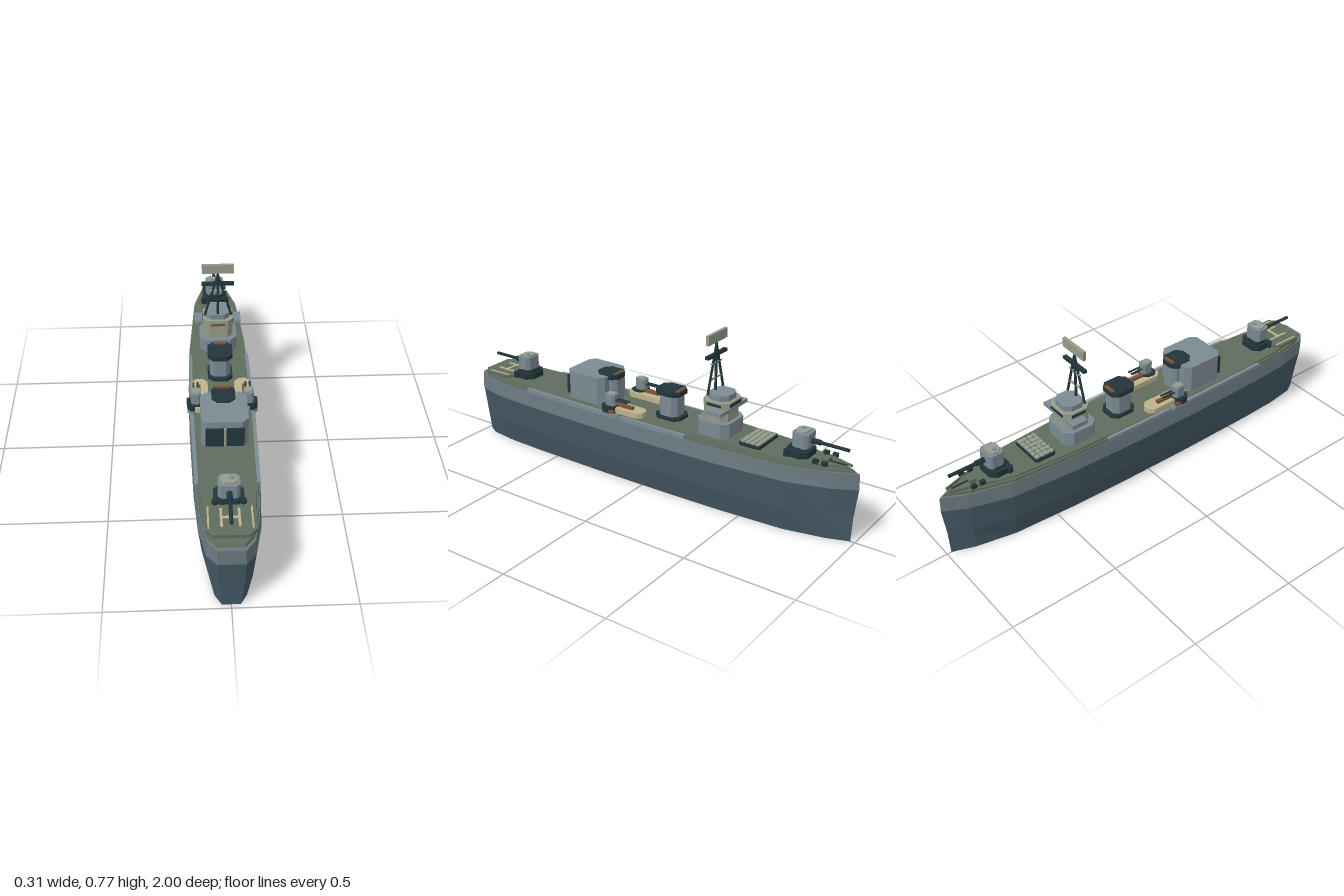
import * as THREE from 'three';

const mat = (name, color) => {
  const m = new THREE.MeshStandardMaterial({ color });
  m.name = name;
  return m;
};

export function createModel() {
  const hullBlue = mat('hull blue grey', 0x455965);
  const strake = mat('strake grey', 0x69787e);
  const grey = mat('superstructure grey', 0x7b8a93);
  const deckGreen = mat('deck green', 0x5f6c5c);
  const dark = mat('dark steel', 0x22353b);
  const khaki = mat('khaki grey', 0x949c8a);
  const cream = mat('cream', 0xbcb28c);
  const brown = mat('rust brown', 0x7d5034);

  const ship = new THREE.Group();
  ship.name = 'warship';

  const add = (parent, name, geo, material, x = 0, y = 0, z = 0) => {
    const m = new THREE.Mesh(geo, material);
    m.name = name;
    m.position.set(x, y, z);
    parent.add(m);
    return m;
  };
  const group = (name, x = 0, y = 0, z = 0) => {
    const g = new THREE.Group();
    g.name = name;
    g.position.set(x, y, z);
    ship.add(g);
    return g;
  };
  // Box standing on y
  const box = (p, name, w, h, d, material, x, y, z) =>
    add(p, name, new THREE.BoxGeometry(w, h, d), material, x, y + h / 2, z);
  // Upright prism with chamfered corners, standing on y
  const prism = (p, name, w, h, d, c, material, x, y, z) => {
    const a = w / 2, b = d / 2;
    const s = new THREE.Shape([[a, c - b], [a, b - c], [a - c, b], [c - a, b], [-a, b - c], [-a, c - b], [c - a, -b], [a - c, -b]]
      .map(([u, v]) => new THREE.Vector2(u, v)));
    const geo = new THREE.ExtrudeGeometry(s, { depth: h, bevelEnabled: false });
    return add(p, name, geo.rotateX(-Math.PI / 2), material, x, y, z);
  };
  // Faceted rod between two points
  const rod = (p, name, from, to, r, material, sides = 8) => {
    const a = new THREE.Vector3(...from), b = new THREE.Vector3(...to);
    const dir = b.clone().sub(a);
    const geo = new THREE.CylinderGeometry(r, r, dir.length(), sides).toNonIndexed();
    geo.computeVertexNormals();
    const m = add(p, name, geo, material);
    m.position.copy(a).lerp(b, 0.5);
    m.quaternion.setFromUnitVectors(new THREE.Vector3(0, 1, 0), dir.normalize());
    return m;
  };

  // Plan outline of the hull, bow to stern: [z, half width]
  const plan = [[-0.9, 0.053], [-0.72, 0.108], [-0.41, 0.134], [-0.1, 0.143], [0.2, 0.145],
    [0.62, 0.136], [0.81, 0.124], [0.95, 0.096], [1, 0.056]];
  const outline = [[-1, 0], ...plan, ...plan.map(([z, x]) => [z, -x]).reverse()];
  // Skin over levels given as [y, width scale, length scale]
  const loft = (name, levels, material) => {
    const rings = levels.map(([y, sx, sz]) => outline.map(([z, x]) => [x * sx, y, z * sz]));
    const pos = [], n = outline.length, tri = (...pts) => pts.forEach((q) => pos.push(...q));
    for (let k = 0; k + 1 < rings.length; k++) {
      const lo = rings[k], hi = rings[k + 1];
      for (let i = 0; i < n; i++) {
        const j = (i + 1) % n;
        tri(lo[i], hi[i], hi[j]);
        tri(lo[i], hi[j], lo[j]);
      }
    }
    const bottom = rings[0], top = rings[rings.length - 1];
    for (let i = 1; i + 1 < n; i++) {
      tri(bottom[0], bottom[i], bottom[i + 1]);
      tri(top[0], top[i + 1], top[i]);
    }
    const geo = new THREE.BufferGeometry();
    geo.setAttribute('position', new THREE.Float32BufferAttribute(pos, 3));
    geo.computeVertexNormals();
    add(ship, name, geo, material);
  };
  loft('lowerHull', [[0, 0.67, 0.98], [0.11, 0.88, 0.985], [0.24, 1, 1]], hullBlue);
  loft('upperStrake', [[0.24, 1, 1], [0.31, 0.945, 0.998]], strake);
  loft('deckEdge', [[0.31, 0.93, 0.98], [0.322, 0.92, 0.975]], deckGreen);
  loft('deck', [[0.322, 0.87, 0.95], [0.331, 0.86, 0.945]], deckGreen);

  // Deck-edge plates amidships
  for (const s of [-1, 1]) {
    const edge = [[-0.25, 0.129], [0.2, 0.133], [0.64, 0.124]];
    for (let i = 0; i < 2; i++) {
      const [z0, x0] = edge[i], [z1, x1] = edge[i + 1];
      const plate = box(ship, 'deckEdgePlate', 0.016, 0.018, Math.hypot(z1 - z0, x1 - x0), grey, s * (x0 + x1) / 2, 0.31, (z0 + z1) / 2);
      plate.rotation.y = s * Math.atan2(x1 - x0, z1 - z0);
    }
  }

  // Stern landing pad and its markings
  const pad = group('landingPad', 0, 0.33, 0.865);
  prism(pad, 'padSlab', 0.2, 0.014, 0.17, 0.03, deckGreen, 0, 0, 0);
  for (const s of [-1, 1]) {
    box(pad, 'padSideLine', 0.007, 0.003, 0.12, cream, s * 0.085, 0.014, -0.01);
    box(pad, 'padMarkLeg', 0.01, 0.003, 0.1, cream, s * 0.035, 0.014, -0.01);
  }
  box(pad, 'padMarkBar', 0.07, 0.003, 0.012, cream, 0, 0.014, -0.01);

  // Main guns, built pointing +z
  for (const s of [-1, 1]) {
    const g = group(s > 0 ? 'aftGun' : 'forwardGun', 0, 0.33, s * 0.735);
    if (s < 0) g.rotation.y = Math.PI;
    prism(g, 'gunBase', 0.12, 0.03, 0.1, 0.025, dark, 0, 0, 0);
    prism(g, 'gunCollar', 0.09, 0.012, 0.08, 0.02, dark, 0, 0.03, 0);
    prism(g, 'gunHouse', 0.088, 0.063, 0.074, 0.014, grey, 0, 0.04, 0.008);
    prism(g, 'gunRoof', 0.066, 0.006, 0.05, 0.012, khaki, 0, 0.103, 0.005);
    rod(g, 'roofHatch', [0.012, 0.106, 0], [0.012, 0.113, 0], 0.01, grey);
    rod(g, 'barrelSleeve', [0, 0.07, 0.04], [0, 0.07, 0.085], 0.012, dark);
    rod(g, 'barrel', [0, 0.07, 0.05], [0, 0.07, 0.21], 0.0075, dark);
    for (const k of [-1, 1]) rod(g, 'baseDrum', [k * 0.055, 0, -s * -0.038], [k * 0.055, 0.028, -s * -0.038], 0.014, dark);
  }

  // Foredeck gear
  const bow = group('foredeckGear', 0, 0.33, -0.85);
  for (const s of [-1, 1]) {
    for (const z of [-0.015, 0.025]) box(bow, 'bollardBlock', 0.016, 0.018, 0.022, dark, s * 0.05, 0, z);
    const rail = box(bow, 'bowBulwark', 0.006, 0.01, 0.16, deckGreen, s * 0.035, -0.004, -0.03);
    rail.rotation.y = s * 0.29;
  }
  box(bow, 'windlass', 0.04, 0.014, 0.03, deckGreen, 0, 0, 0);
  rod(bow, 'anchorChain', [0, 0.004, -0.09], [0, 0.004, 0], 0.004, dark, 6);

  // Launch cells
  const cells = group('launchCells', 0, 0.33, -0.535);
  prism(cells, 'cellBase', 0.164, 0.014, 0.1, 0.008, dark, 0, 0, 0);
  for (let i = 0; i < 6; i++) {
    for (let j = 0; j < 4; j++) box(cells, 'cellLid', 0.021, 0.006, 0.019, khaki, (i - 2.5) * 0.0255, 0.014, (j - 1.5) * 0.0235);
  }

  // Bridge tower
  const bridge = group('bridge', 0, 0.33, -0.345);
  prism(bridge, 'bridgeBase', 0.17, 0.066, 0.16, 0.03, grey, 0, 0, 0);
  prism(bridge, 'bridgeTower', 0.135, 0.06, 0.12, 0.025, khaki, 0, 0.066, -0.003);
  box(bridge, 'bridgeWings', 0.215, 0.016, 0.075, grey, 0, 0.11, -0.03);
  prism(bridge, 'wheelhouse', 0.14, 0.03, 0.13, 0.025, khaki, 0, 0.125, -0.008);
  box(bridge, 'bridgeWindows', 0.088, 0.013, 0.004, dark, 0, 0.135, -0.073);
  box(bridge, 'bridgeRearPanel', 0.064, 0.011, 0.004, brown, 0, 0.13, 0.058);
  for (const s of [-1, 1]) box(bridge, 'sideWindows', 0.004, 0.012, 0.07, dark, s * 0.07, 0.135, -0.01);
  prism(bridge, 'bridgeTop', 0.11, 0.025, 0.1, 0.025, grey, 0, 0.155, -0.008);

  // Lattice mast and radar
  const mast = group('mast', 0, 0, -0.317);
  rod(mast, 'mastPole', [0, 0.5, 0], [0, 0.73, 0], 0.006, dark);
  for (const s of [-1, 1]) rod(mast, 'mastLeg', [s * 0.061, 0.503, 0], [0, 0.715, 0], 0.0055, dark);
  box(mast, 'mastBrace', 0.08, 0.006, 0.008, khaki, 0, 0.563, 0);
  box(mast, 'mastBrace', 0.075, 0.006, 0.008, khaki, 0, 0.631, 0);
  box(mast, 'yardArm', 0.146, 0.013, 0.018, dark, 0, 0.664, 0);
  box(mast, 'radarPanel', 0.143, 0.043, 0.014, khaki, 0, 0.725, 0);

  // Forward funnel
  const funnel = group('forwardFunnel', 0, 0.33, -0.095);
  prism(funnel, 'funnelPlinth', 0.11, 0.016, 0.13, 0.025, dark, 0, 0, 0);
  prism(funnel, 'funnelBody', 0.092, 0.1, 0.095, 0.02, grey, 0, 0.016, 0);
  prism(funnel, 'funnelCap', 0.11, 0.02, 0.125, 0.025, dark, 0, 0.112, 0.003);
  box(funnel, 'funnelVent', 0.06, 0.006, 0.016, brown, 0, 0.131, -0.047);

  // Hangar with the aft funnel on its forward end
  const hangar = group('hangar', 0, 0.33, 0);
  prism(hangar, 'hangarBody', 0.196, 0.13, 0.205, 0.025, grey, 0, 0, 0.322);
  for (const s of [-1, 1]) box(hangar, 'hangarDoor', 0.074, 0.088, 0.014, dark, s * 0.043, 0.012, 0.427);
  box(hangar, 'doorPost', 0.01, 0.088, 0.016, khaki, 0, 0.012, 0.427);
  prism(hangar, 'aftFunnelBody', 0.085, 0.11, 0.08, 0.018, grey, 0, 0, 0.228);
  prism(hangar, 'aftFunnelCap', 0.1, 0.022, 0.115, 0.025, dark, 0, 0.114, 0.238);
  box(hangar, 'aftFunnelVent', 0.06, 0.006, 0.016, brown, 0, 0.135, 0.195);

  // Side gun positions, barrels toward the bow
  for (const s of [-1, 1]) {
    const g = group(s > 0 ? 'leftSideGun' : 'rightSideGun', 0, 0.33, 0);
    prism(g, 'sponson', 0.06, 0.016, 0.1, 0.015, grey, s * 0.122, -0.01, 0.14);
    prism(g, 'gunPlatform', 0.072, 0.024, 0.215, 0.022, cream, s * 0.095, 0.006, 0.092);
    box(g, 'platformLocker', 0.018, 0.012, 0.085, brown, s * 0.1, 0.03, 0.085);
    prism(g, 'sideGunBase', 0.08, 0.03, 0.07, 0.018, dark, s * 0.112, 0.006, 0.155);
    prism(g, 'sideGunHouse', 0.044, 0.05, 0.055, 0.01, grey, s * 0.114, 0.036, 0.15);
    prism(g, 'sideGunRoof', 0.032, 0.004, 0.035, 0.008, khaki, s * 0.114, 0.086, 0.15);
    for (const k of [-1, 1]) {
      const x = s * 0.114 + k * 0.009;
      rod(g, 'sideBarrel', [x, 0.064, 0.13], [x, 0.064, 0.06], 0.0045, dark, 6);
    }
    box(g, 'sideLocker', 0.012, 0.012, 0.03, brown, s * 0.148, 0.01, 0.125);
  }
  return ship;
}
